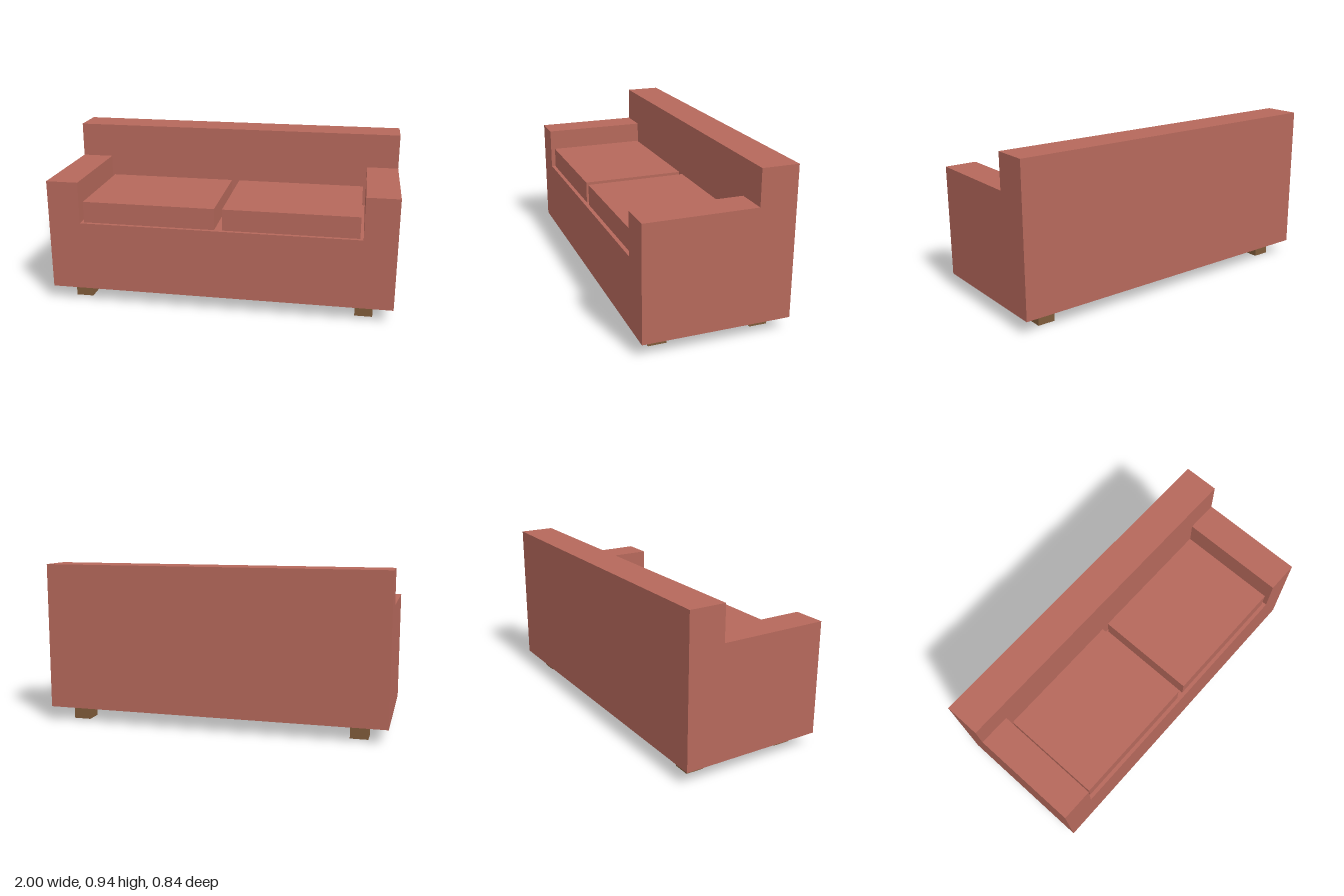
import * as THREE from 'three';

export function createModel() {
  const sofa = new THREE.Group();
  sofa.name = 'sofa';

  const fabric = new THREE.MeshStandardMaterial({ color: 0xb5685b });
  fabric.name = 'red fabric';
  const wood = new THREE.MeshStandardMaterial({ color: 0x7f5b3a });
  wood.name = 'brown wood';

  // Adds a box given its extents along each axis
  function addBox(name, material, [x0, x1], [y0, y1], [z0, z1]) {
    const mesh = new THREE.Mesh(new THREE.BoxGeometry(x1 - x0, y1 - y0, z1 - z0), material);
    mesh.position.set((x0 + x1) / 2, (y0 + y1) / 2, (z0 + z1) / 2);
    mesh.name = name;
    sofa.add(mesh);
  }

  // Mirrors an x extent to the given side
  const mirror = (side, inner, outer) => (side > 0 ? [inner, outer] : [-outer, -inner]);

  const bottom = 0.083, seatTop = 0.49, armTop = 0.735, backTop = 0.94;
  const front = 0.419, backFront = -0.21;

  // Backrest and seat base
  addBox('backrest', fabric, [-1, 1], [bottom, backTop], [-front, backFront]);
  addBox('seatBase', fabric, [-0.813, 0.813], [bottom, seatTop], [backFront, front]);

  for (const side of [1, -1]) {
    const label = side > 0 ? 'left' : 'right';

    // Armrest and loose seat cushion
    addBox(label + 'Armrest', fabric, mirror(side, 0.813, 1), [bottom, armTop], [backFront, front]);
    addBox(label + 'Cushion', fabric, mirror(side, 0.023, 0.795), [seatTop, 0.615], [-0.2, 0.397]);

    // Square feet, front and back
    addBox(label + 'FrontFoot', wood, mirror(side, 0.785, 0.887), [0, bottom], [0.242, 0.345]);
    addBox(label + 'BackFoot', wood, mirror(side, 0.785, 0.887), [0, bottom], [-0.345, -0.242]);
  }

  return sofa;
}
